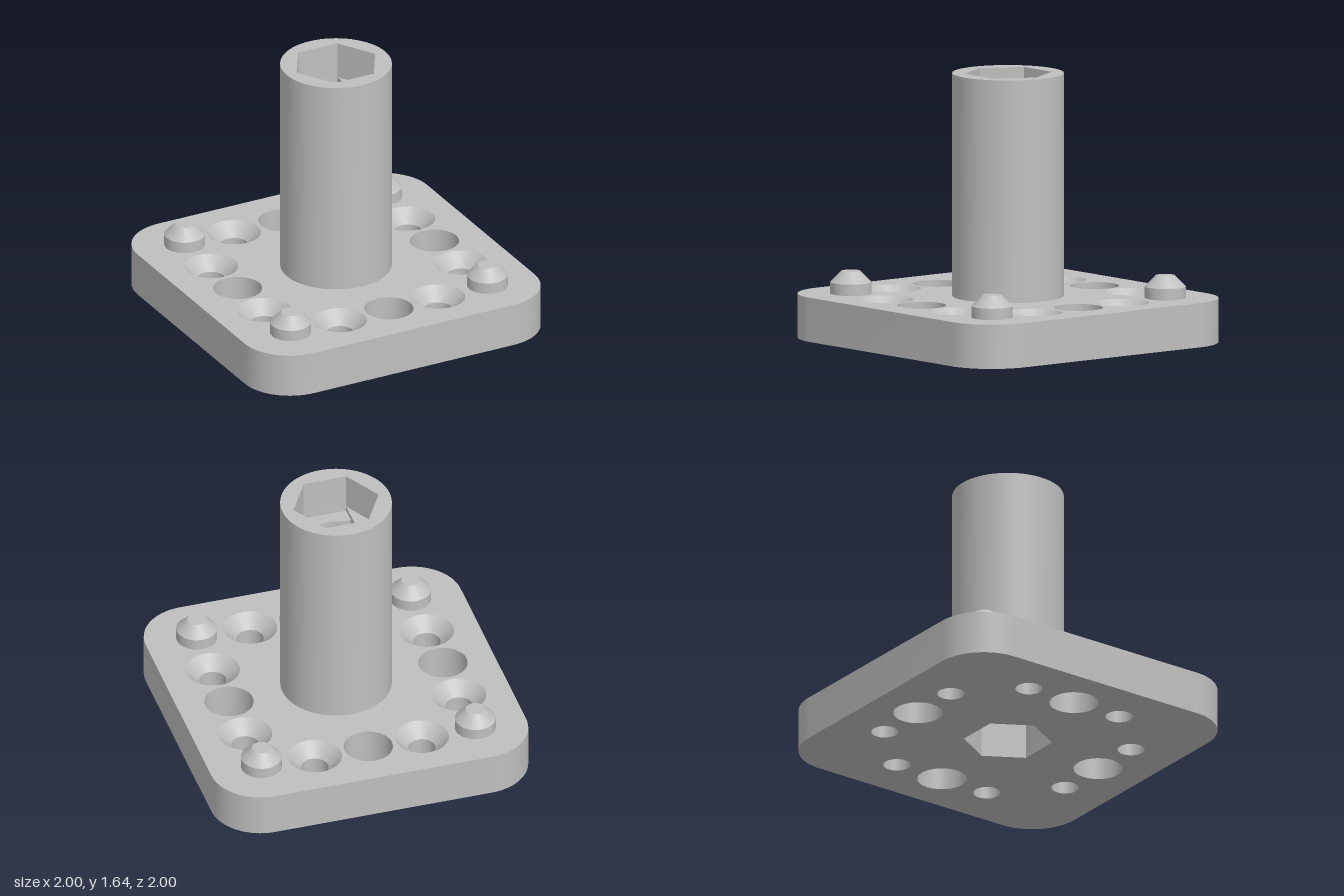
import * as THREE from 'three';
import { mergeGeometries, toCreasedNormals } from 'three/addons/utils/BufferGeometryUtils.js';

const PLATE_TOP = 0.272, POST_TOP = 1.64, POST_R = 0.34, BORE_R = 0.15;
const PITCH = 0.68, HALF = 0.34;

// Counter-clockwise outlines, seen from above
function circle(r, cx = 0, cy = 0, n = 64) {
  return Array.from({ length: n }, (_, i) => {
    const a = (i / n) * Math.PI * 2;
    return new THREE.Vector2(cx + r * Math.cos(a), cy + r * Math.sin(a));
  });
}

function roundedSquare(h, r) {
  const pts = [];
  [[1, 1], [-1, 1], [-1, -1], [1, -1]].forEach(([sx, sy], q) => {
    for (let i = 0; i <= 16; i++) {
      const a = (q + i / 16) * Math.PI / 2;
      pts.push(new THREE.Vector2(sx * (h - r) + r * Math.cos(a), sy * (h - r) + r * Math.sin(a)));
    }
  });
  return pts;
}

// Rectangle joined with the round bore
function slot(hw, hd, r) {
  const c = Math.atan2(hd, hw);
  const angles = [c, Math.PI - c, Math.PI + c, 2 * Math.PI - c];
  for (let i = 0; i < 96; i++) angles.push((i / 96) * Math.PI * 2 + 0.001);
  return angles.sort((a, b) => a - b).map((a) => {
    const x = Math.cos(a), y = Math.sin(a);
    const d = Math.max(r, Math.min(hw / Math.abs(x), hd / Math.abs(y)));
    return new THREE.Vector2(d * x, d * y);
  });
}

// Horizontal face with holes
function face(outline, holes, y, up = true) {
  const shape = new THREE.Shape(outline);
  shape.holes = holes.map((h) => new THREE.Path(h));
  const g = new THREE.ShapeGeometry(shape).rotateX(up ? -Math.PI / 2 : Math.PI / 2).translate(0, y, 0);
  g.deleteAttribute('uv');
  return g.toNonIndexed();
}

// Upright wall around an outline, facing outward or inward
function wall(outline, y0, y1, inward = false) {
  const pts = inward ? [...outline].reverse() : outline;
  const v = [];
  pts.forEach((a, i) => {
    const b = pts[(i + 1) % pts.length];
    v.push(a.x, y0, -a.y, b.x, y0, -b.y, b.x, y1, -b.y);
    v.push(a.x, y0, -a.y, b.x, y1, -b.y, a.x, y1, -a.y);
  });
  const g = new THREE.BufferGeometry();
  g.setAttribute('position', new THREE.Float32BufferAttribute(v, 3));
  g.computeVertexNormals();
  return toCreasedNormals(g, 0.5);
}

function lathe(profile) {
  const g = new THREE.LatheGeometry(profile.map(([x, y]) => new THREE.Vector2(x, y)), 64);
  g.deleteAttribute('uv');
  return toCreasedNormals(g, 0.5);
}

export function createModel() {
  const model = new THREE.Group();
  const grey = new THREE.MeshStandardMaterial({ color: 0xbfbfbf });
  grey.name = 'grey';
  const add = (name, geometry, x = 0, z = 0) => {
    const mesh = new THREE.Mesh(geometry, grey);
    mesh.name = name;
    mesh.position.set(x, 0, z);
    model.add(mesh);
  };

  // Hole positions around the plate
  const big = [[PITCH, 0], [-PITCH, 0], [0, PITCH], [0, -PITCH]];
  const sunk = [], corners = [];
  for (const sx of [-1, 1]) for (const sz of [-1, 1]) {
    sunk.push([sx * HALF, sz * PITCH], [sx * PITCH, sz * HALF]);
    corners.push([sx * PITCH, sz * PITCH]);
  }
  const bigRings = big.map(([x, z]) => circle(BORE_R, x, z));
  const sunkRings = (r) => sunk.map(([x, z]) => circle(r, x, z));
  const hexagon = circle(0.27, 0, 0, 6);
  const postRing = circle(POST_R);

  // Base plate
  const outline = roundedSquare(1, 0.31);
  add('basePlate', mergeGeometries([
    wall(outline, 0, PLATE_TOP),
    face(outline, [...bigRings, ...sunkRings(0.165), postRing], PLATE_TOP),
    face(outline, [...bigRings, ...sunkRings(0.083), hexagon], 0, false),
  ]));
  bigRings.forEach((ring) => add('plateHole', wall(ring, 0, PLATE_TOP, true)));
  const sink = lathe([[0.165, PLATE_TOP], [0.083, PLATE_TOP - 0.082], [0.083, 0]]);
  sunk.forEach(([x, z]) => add('countersunkHole', sink, x, z));

  // Corner pegs with chamfered tips
  const peg = lathe([[0.125, PLATE_TOP], [0.125, 0.342], [0.058, 0.41], [0, 0.41]]);
  corners.forEach(([x, z]) => add('cornerPeg', peg, x, z));

  // Post
  add('post', mergeGeometries([
    wall(postRing, PLATE_TOP, POST_TOP),
    face(postRing, [hexagon], POST_TOP),
  ]));

  // Hexagonal sockets at both ends, stepping down to the round bore
  const steps = [hexagon, slot(0.135, 0.232, 0.152), slot(0.134, 0.134, 0.151), circle(BORE_R)];
  const depths = [0, 0.23, 0.26, 0.29];
  for (const top of [true, false]) {
    const level = (i) => (top ? POST_TOP - depths[i] : depths[i]);
    const parts = [];
    for (let i = 0; i < 3; i++) {
      const [a, b] = [level(i), level(i + 1)];
      parts.push(wall(steps[i], Math.min(a, b), Math.max(a, b), true));
      parts.push(face(steps[i], [steps[i + 1]], b, top));
    }
    add(top ? 'topSocket' : 'bottomSocket', mergeGeometries(parts));
  }
  add('bore', wall(steps[3], depths[3], POST_TOP - depths[3], true));

  return model;
}
